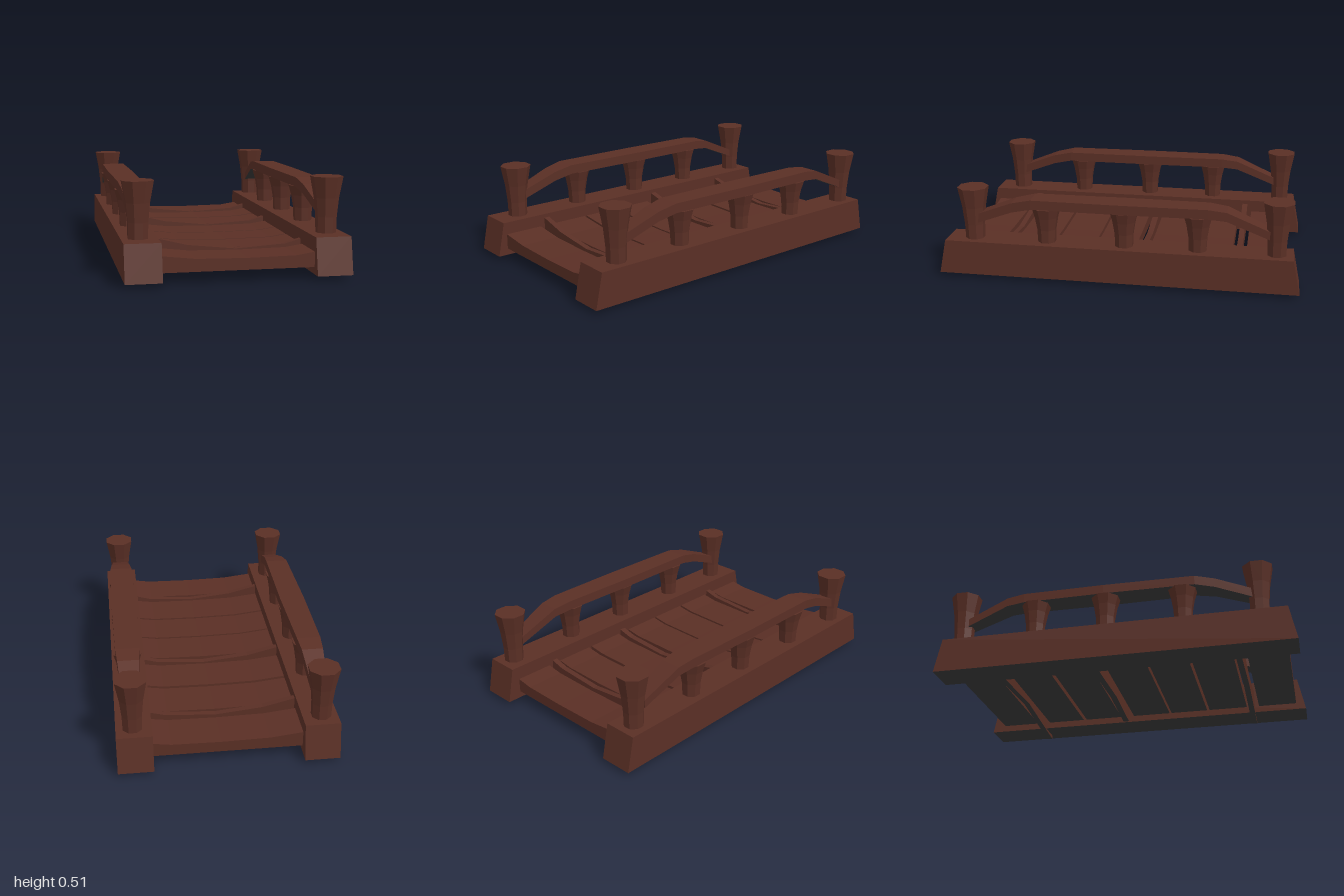
import * as THREE from 'three';

const wood = new THREE.MeshStandardMaterial({ color: 0x5a2f25 });
wood.name = 'dark wood';
wood.flatShading = true;
const under = new THREE.MeshStandardMaterial({ color: 0x3a3a3a });
under.name = 'dark underside';
under.flatShading = true;

// Joins four-cornered sections; the first edge of each section is its underside.
function loft(name, sections) {
  const top = [], bottom = [];
  const quad = (out, a, b, c, d) => out.push(...a, ...b, ...c, ...a, ...c, ...d);
  for (let i = 0; i < sections.length - 1; i++) {
    const s = sections[i], n = sections[i + 1];
    for (let k = 0; k < 4; k++) {
      const j = (k + 1) % 4;
      quad(k === 0 ? bottom : top, s[k], s[j], n[j], n[k]);
    }
  }
  const first = sections[0], last = sections[sections.length - 1];
  quad(top, first[3], first[2], first[1], first[0]);
  quad(top, ...last);
  const geo = new THREE.BufferGeometry();
  geo.setAttribute('position', new THREE.Float32BufferAttribute([...top, ...bottom], 3));
  geo.addGroup(0, top.length / 3, 0);
  geo.addGroup(top.length / 3, bottom.length / 3, 1);
  geo.computeVertexNormals();
  const mesh = new THREE.Mesh(geo, [wood, under]);
  mesh.name = name;
  return mesh;
}

// Cross board running along x; profile rows are [x, low y, high y].
const board = (name, z0, z1, profile) => loft(name, profile.map(([x, lo, hi]) =>
  [[x, lo, z1], [x, lo, z0], [x, hi, z0], [x, hi, z1]]));

// Flared eight-sided post; profile rows are [radius, y].
function post(name, x, z, profile) {
  const pts = [...profile, [0, profile[profile.length - 1][1]]].map(([r, y]) => new THREE.Vector2(r, y));
  const mesh = new THREE.Mesh(new THREE.LatheGeometry(pts, 8, Math.PI / 8), wood);
  mesh.name = name;
  mesh.position.set(x, 0, z);
  return mesh;
}

export function createModel() {
  const model = new THREE.Group();
  model.name = 'footbridge';

  for (const side of [-1, 1]) {
    const label = side > 0 ? 'left' : 'right';
    const cx = side * 0.495;

    // Side beam with slanted ends
    const a = side > 0 ? 0.395 : -0.583, b = side > 0 ? 0.583 : -0.395;
    model.add(loft(label + 'Beam', [-1, 1].map((e) => [
      [a, 0.022, e], [b, 0.022, e], [b, 0.216, e * 0.96], [a, 0.216, e * 0.96],
    ])));

    // End posts
    for (const z of [-0.87, 0.81]) {
      model.add(post(label + 'EndPost', cx, z,
        [[0.054, 0.2], [0.056, 0.3], [0.066, 0.4], [0.087, 0.512]]));
    }

    // Balusters
    for (const z of [-0.445, -0.04, 0.395]) {
      model.add(post(label + 'Baluster', cx, z,
        [[0.05, 0.2], [0.054, 0.29], [0.066, 0.36], [0.082, 0.416]]));
    }

    // Handrail: z, low y, high y, half width
    const rail = [
      [-0.83, 0.31, 0.355, 0.042], [-0.6, 0.405, 0.455, 0.058], [-0.5, 0.415, 0.468, 0.065],
      [-0.04, 0.415, 0.468, 0.071], [0.47, 0.415, 0.468, 0.065], [0.58, 0.39, 0.443, 0.056],
      [0.79, 0.31, 0.362, 0.042],
    ];
    model.add(loft(label + 'Handrail', rail.map(([z, lo, hi, w]) =>
      [[cx - w, lo, z], [cx + w, lo, z], [cx + w, hi, z], [cx - w, hi, z]])));
  }

  // Deck planks, slightly sagging
  const plank = [[-0.43, 0.06, 0.15], [-0.22, 0.06, 0.126], [0.04, 0.06, 0.121], [0.3, 0.06, 0.125], [0.43, 0.06, 0.145]];
  const spans = [[-0.92, -0.7], [-0.62, -0.395], [-0.375, -0.15], [-0.068, 0.16],
    [0.173, 0.397], [0.412, 0.643], [0.718, 0.943]];
  spans.forEach(([z0, z1]) => model.add(board('plank', z0, z1, plank)));

  // Thin curved ribs between the planks
  [[-0.675, -0.643, 0], [-0.135, -0.1, 0.022], [0.66, 0.692, 0]].forEach(([z0, z1, low]) =>
    model.add(board('rib', z0, z1, [
      [-0.46, 0.023, 0.21], [-0.22, 0.035, 0.15], [0.04, 0.05, 0.122],
      [0.31, 0.022 + low * 0.4, 0.14], [0.53, low, 0.2],
    ])));

  return model;
}
